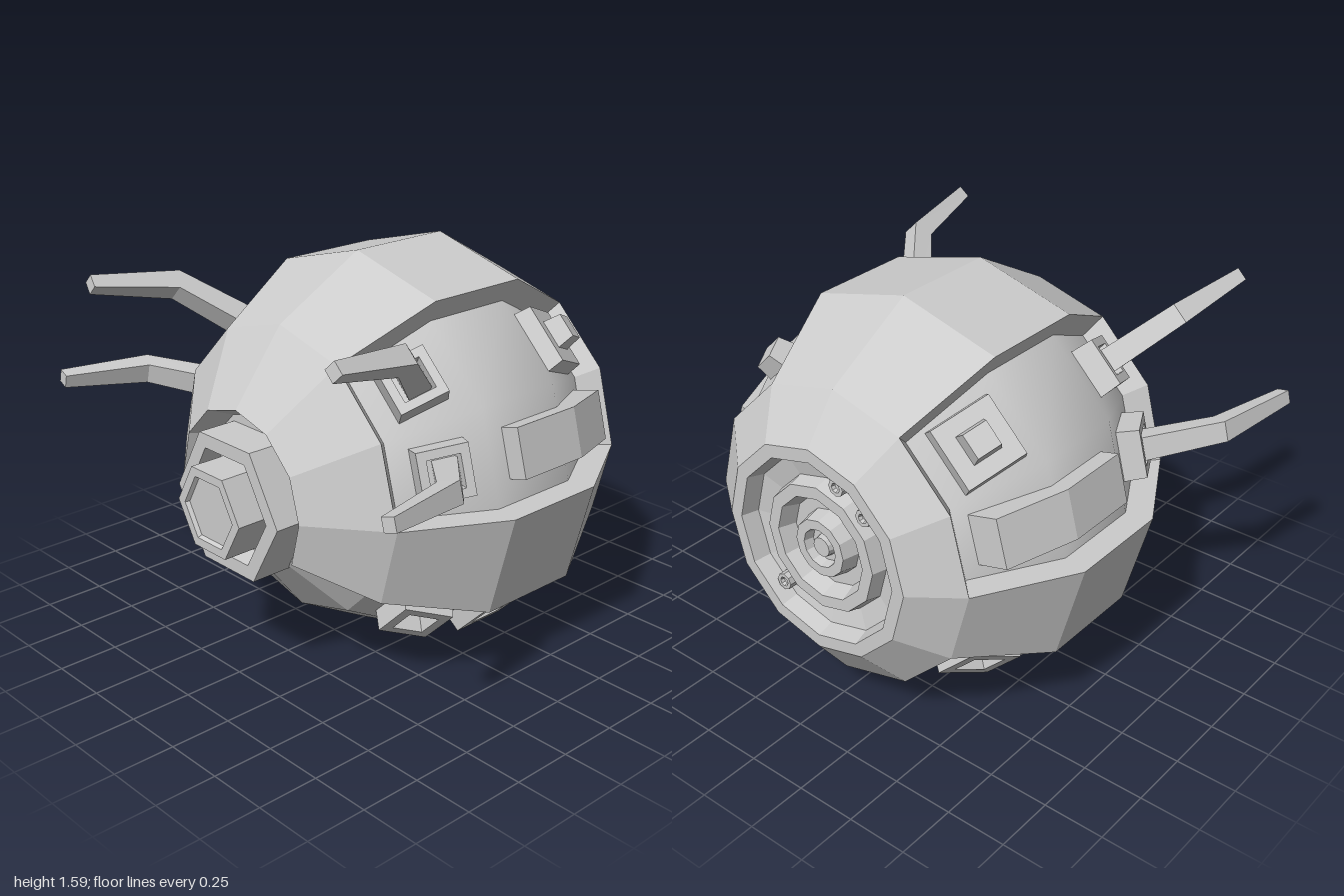
import * as THREE from 'three';
import { mergeVertices } from 'three/addons/utils/BufferGeometryUtils.js';

const CY = 0.74, CZ = -0.115, INNER = 0.875, R2 = Math.SQRT2;
const rad = THREE.MathUtils.degToRad;
// hull profile from nose to tail: [z, radius]
const HULL = [[0.72, 0.35], [0.5, 0.635], [0.11, 0.85], [-0.34, 0.85], [-0.73, 0.625], [-0.87, 0.44]];

const flat = new THREE.MeshStandardMaterial({ color: 0xcccccc, flatShading: true });
const soft = new THREE.MeshStandardMaterial({ color: 0xcccccc });

function add(parent, name, geometry, material = flat) {
  const mesh = new THREE.Mesh(geometry, material);
  mesh.name = name;
  parent.add(mesh);
  return mesh;
}

// twelve-sided hull cells chosen by has(band, sector); inner > 0 adds step walls at open edges
function hullCells(has, scale, inner, smooth) {
  const pos = [];
  const point = (j, k, s) => {
    const a = rad(30 * k), r = HULL[j][1] * s;
    return [r * Math.cos(a), r * Math.sin(a), CZ + (HULL[j][0] - CZ) * s];
  };
  const quad = (a, b, c, d) => pos.push(...a, ...b, ...c, ...a, ...c, ...d);
  const used = (j, k) => j >= 0 && j < 5 && has(j, (k + 12) % 12);
  for (let j = 0; j < 5; j++) for (let k = 0; k < 12; k++) {
    if (!used(j, k)) continue;
    const corners = [[j, k], [j + 1, k], [j + 1, (k + 1) % 12], [j, (k + 1) % 12]];
    const out = corners.map(([b, s]) => point(b, s, scale));
    quad(...out);
    if (!inner) continue;
    const low = corners.map(([b, s]) => point(b, s, inner));
    [[j, k - 1], [j + 1, k], [j, k + 1], [j - 1, k]].forEach(([nj, nk], e) => {
      const f = (e + 1) % 4;
      if (!used(nj, nk)) quad(out[f], out[e], low[e], low[f]);
    });
  }
  let geo = new THREE.BufferGeometry();
  geo.setAttribute('position', new THREE.Float32BufferAttribute(pos, 3));
  if (smooth) geo = mergeVertices(geo, 1e-4);
  geo.computeVertexNormals();
  return geo;
}

const lathe = (pts, sides, start = 0) =>
  new THREE.LatheGeometry(pts.map(p => new THREE.Vector2(...p)), sides, start);

// square stepped block rising along local x; profile is [half width, height]
const squareBlock = pts =>
  lathe(pts.map(([h, y]) => [h * R2, y]), 4, Math.PI / 4).rotateZ(-Math.PI / 2);

const frame = (half, hole, h, depth) =>
  squareBlock([[half * 1.08, -0.08], [half, h], [hole, h], [hole * 0.85, h - depth], [0, h - depth]]);

// bent, tapering prong; stations are [z, radius, tilt, thickness]
function prongGeometry() {
  const stations = [[0.22, 0.62, 48, 0.1], [0.5, 0.925, 28, 0.085], [0.86, 1.005, 9, 0.055]];
  const geo = new THREE.BoxGeometry(1, 1, 1, 1, 1, 2);
  const p = geo.attributes.position;
  for (let i = 0; i < p.count; i++) {
    const [z, r, tilt, t] = stations[Math.round((p.getZ(i) + 0.5) * 2)];
    const x = p.getX(i) * t;
    p.setXYZ(i, r + x * Math.cos(rad(tilt)), p.getY(i) * t, z - x * Math.sin(rad(tilt)));
  }
  geo.computeVertexNormals();
  return geo;
}

// long side block following the flank, outline drawn in (radius, z)
function flankGeometry() {
  const s = new THREE.Shape([[0.66, 0], [0.8, 0], [0.8, -0.32], [0.69, -0.6], [0.52, -0.6]]
    .map(p => new THREE.Vector2(...p)));
  return new THREE.ExtrudeGeometry(s, { depth: 0.2, bevelEnabled: false })
    .translate(0, 0, -0.1).rotateX(Math.PI / 2);
}

// local frame at an angle round the hull: x = outward, z = forward
function sector(parent, name, degrees) {
  const g = new THREE.Group();
  g.name = name;
  g.rotation.z = rad(degrees);
  parent.add(g);
  return g;
}

function mount(parent, name, geo, r, z, slope) {
  const m = add(parent, name, geo);
  m.position.set(r, 0, z);
  m.rotation.y = rad(-slope);
  return m;
}

export function createModel() {
  const model = new THREE.Group();
  const body = new THREE.Group();
  body.name = 'body';
  body.position.y = CY;
  model.add(body);

  // armour shell with recesses, over a smaller inner hull
  const plated = (j, k) => j === 4 || (j === 0 ? k <= 6 || k === 11 : [2, 3, 6, 11].includes(k));
  const recess = (j, k) => j > 0 && j < 4 && [0, 1, 4, 5, 7, 10].includes(k);
  add(body, 'armourShell', hullCells(plated, 1, INNER, false));
  add(body, 'innerHull', hullCells((j, k) => !recess(j, k), INNER, 0, false));
  add(body, 'recessPanels', hullCells(recess, INNER, 0, true), soft);
  add(body, 'nosePlate', new THREE.CircleGeometry(0.307, 12)).position.z = 0.615;

  // hexagonal nose socket
  const nose = lathe([[0.3, 0.5], [0.3, 0.78], [0.235, 0.78], [0.215, 0.7], [0.185, 0.7],
    [0.185, 0.865], [0.145, 0.865], [0.135, 0.85], [0, 0.85]], 6, Math.PI / 2).rotateX(Math.PI / 2);
  add(body, 'noseSocket', nose).position.y = -0.02;

  // stepped tail dish and its bolts
  const tail = lathe([[0.44, 0.87], [0.385, 0.87], [0.365, 0.8], [0.28, 0.78], [0.265, 0.84], [0.215, 0.84],
    [0.19, 0.77], [0.135, 0.77], [0.12, 0.84], [0.08, 0.84], [0.07, 0.8], [0.045, 0.8], [0.04, 0.83], [0, 0.83]], 12);
  add(body, 'tailDish', tail.rotateX(-Math.PI / 2));
  for (const a of [108, 135, 310]) {
    const bolt = add(body, 'tailBolt', lathe([[0.035, 0], [0.035, 0.06], [0.02, 0.06], [0.015, 0.045], [0, 0.045]], 8)
      .rotateX(-Math.PI / 2));
    bolt.position.set(0.32 * Math.cos(rad(a)), 0.32 * Math.sin(rad(a)), -0.78);
  }

  for (const side of [1, -1]) {
    const at = deg => (side > 0 ? deg : 180 - deg);
    // front prongs in their sockets
    for (const deg of [15, 45]) {
      const g = sector(body, 'prongMount', at(deg));
      mount(g, 'prongSocket', frame(0.1, 0.065, 0.09, 0.06), 0.625, 0.255, 29);
      add(g, 'prong', prongGeometry());
    }
    // flank block
    add(sector(body, 'flank', at(15)), 'flankBlock', flankGeometry());
    // rear knob
    const knob = squareBlock([[0.14, -0.08], [0.125, 0.06], [0.06, 0.06], [0.05, 0.13], [0, 0.13]]);
    mount(sector(body, 'rearMount', at(45)), 'rearKnob', knob, 0.635, -0.475, -30);
    // lower ports
    const lower = sector(body, 'lowerPorts', at(-45));
    mount(lower, 'frontPort', frame(0.105, 0.065, 0.09, 0.07), 0.635, 0.23, 29);
    mount(lower, 'middlePort', frame(0.12, 0.075, 0.08, 0.07), 0.715, -0.11, 0);
    mount(lower, 'rearPort', frame(0.115, 0.07, 0.09, 0.07), 0.63, -0.465, -30);
  }
  return model;
}
